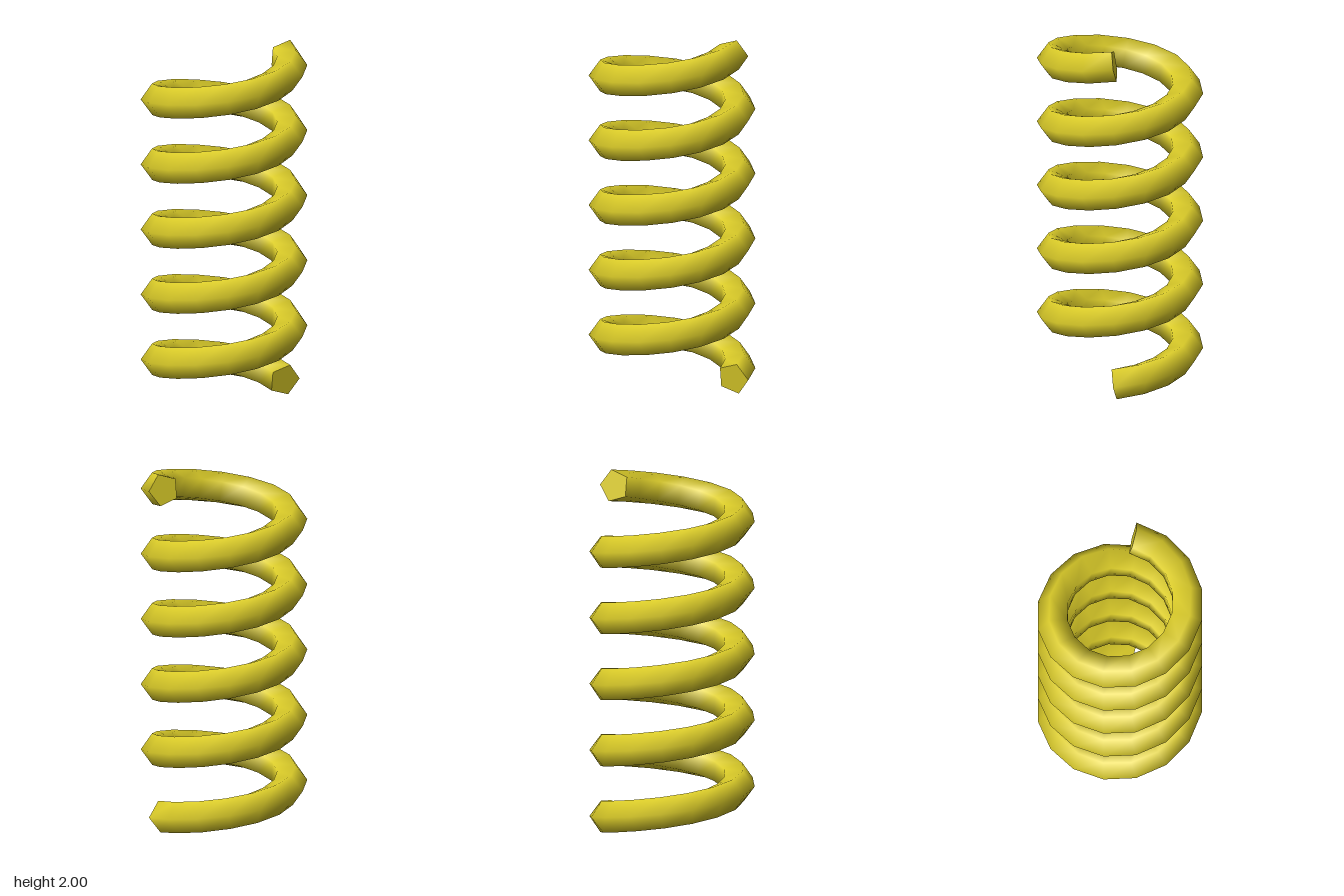
import * as THREE from 'three';

const TURNS = 5, STEPS = 16, SIDES = 5;
const COIL = 0.364, WIRE = 0.091, PITCH = 0.3656, BASE = 0.086;

// Points of the five-sided wire section at step i, square to the helix
function ring(i) {
  const t = (i / STEPS) * Math.PI * 2;
  const radial = new THREE.Vector3(Math.cos(t), 0, -Math.sin(t));
  const tangent = new THREE.Vector3(
    -COIL * Math.sin(t), PITCH / (Math.PI * 2), -COIL * Math.cos(t)).normalize();
  const up = new THREE.Vector3().crossVectors(radial, tangent).normalize();
  const centre = radial.clone().multiplyScalar(COIL).setY(BASE + PITCH * i / STEPS);
  return Array.from({ length: SIDES }, (_, j) => {
    const a = (j / SIDES) * Math.PI * 2;
    return centre.clone()
      .addScaledVector(radial, WIRE * Math.cos(a))
      .addScaledVector(up, WIRE * Math.sin(a));
  });
}

function geometryFrom(points, index) {
  const geometry = new THREE.BufferGeometry().setFromPoints(points);
  geometry.setIndex(index);
  geometry.computeVertexNormals();
  return geometry;
}

export function createModel() {
  const group = new THREE.Group();
  group.name = 'coilSpring';
  const material = new THREE.MeshStandardMaterial({ color: 0xdccd29 });
  const add = (name, geometry) => {
    const mesh = new THREE.Mesh(geometry, material);
    mesh.name = name;
    group.add(mesh);
  };

  // Wound wire
  const last = TURNS * STEPS, points = [], index = [];
  for (let i = 0; i <= last; i++) {
    points.push(...ring(i));
    if (i === last) break;
    for (let j = 0; j < SIDES; j++) {
      const k = (j + 1) % SIDES;
      const a = i * SIDES + j, b = i * SIDES + k;
      index.push(a, a + SIDES, b + SIDES, a, b + SIDES, b);
    }
  }
  add('coil', geometryFrom(points, index));

  // Flat cut ends
  add('lowerEnd', geometryFrom(ring(0), [0, 1, 2, 0, 2, 3, 0, 3, 4]));
  add('upperEnd', geometryFrom(ring(last), [0, 2, 1, 0, 3, 2, 0, 4, 3]));
  return group;
}
